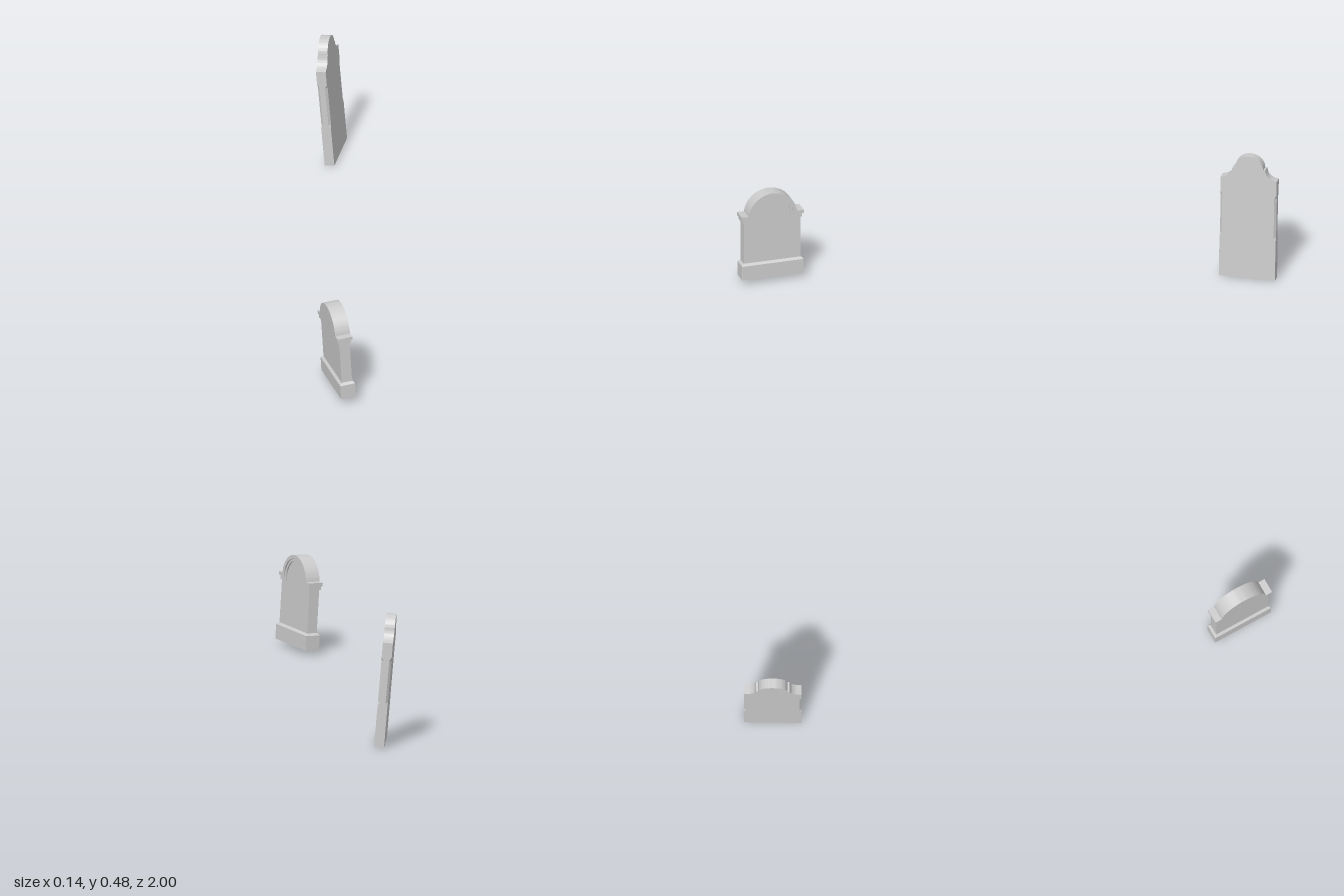
import * as THREE from 'three';
import { toCreasedNormals } from 'three/addons/utils/BufferGeometryUtils.js';

const stone = new THREE.MeshStandardMaterial({ color: 0xcccccc });

function addMesh(group, name, geometry) {
  const mesh = new THREE.Mesh(geometry, stone);
  mesh.name = name;
  group.add(mesh);
}

// Block lofted through rings of [height, halfWidth, halfDepth, cornerChamfer]
function loft(rings) {
  const pos = [], idx = [], n = 8;
  for (const [y, h, t, c] of rings) {
    const a = h - c, b = t - c;
    for (const [x, q] of [[h, -b], [h, b], [a, t], [-a, t], [-h, b], [-h, -b], [-a, -t], [a, -t]]) {
      pos.push(x, y, -q);
    }
  }
  const top = (rings.length - 1) * n;
  for (let i = 0; i < top; i += n) {
    for (let j = 0; j < n; j++) {
      const a = i + j, b = i + (j + 1) % n;
      idx.push(a, b, b + n, a, b + n, a + n);
    }
  }
  for (let j = 1; j < n - 1; j++) {
    idx.push(0, j + 1, j, top, top + j, top + j + 1);
  }
  const g = new THREE.BufferGeometry();
  g.setAttribute('position', new THREE.Float32BufferAttribute(pos, 3));
  g.setIndex(idx);
  const flat = g.toNonIndexed();
  flat.computeVertexNormals();
  return flat;
}

// Outline in the stone's face plane, extruded from depth z0 to z1
function slab(shape, z0, z1) {
  const g = new THREE.ExtrudeGeometry(shape, { depth: z1 - z0, bevelEnabled: false, curveSegments: 20 });
  g.translate(0, 0, z0);
  return toCreasedNormals(g, 0.5);
}

const SPRING = 0.24; // height where the arch of the round stone starts

// Shouldered arch; with an inner radius it becomes a moulding open below
function archShape(half, bottom, shoulder, outer, inner) {
  const s = new THREE.Shape();
  const a = Math.asin((shoulder - SPRING) / outer);
  s.moveTo(-half, bottom);
  if (inner) {
    s.lineTo(-inner, bottom);
    s.lineTo(-inner, SPRING);
    s.absarc(0, SPRING, inner, Math.PI, 0, true);
    s.lineTo(inner, bottom);
  }
  s.lineTo(half, bottom);
  s.lineTo(half, shoulder);
  s.absarc(0, SPRING, outer, a, Math.PI - a, false);
  s.lineTo(-half, shoulder);
  s.closePath();
  return s;
}

function roundStone() {
  const g = new THREE.Group();
  const e = 0.0004;
  addMesh(g, 'plinth', loft([[0, 0.119, 0.029, e], [0.055, 0.119, 0.029, e], [0.063, 0.111, 0.021, e]]));
  addMesh(g, 'body', new THREE.BoxGeometry(0.22, 0.175, 0.04).translate(0, 0.1475, 0));
  // Lower cap step, solid at the back and open to the panel at the front
  addMesh(g, 'lowerCapStep', new THREE.BoxGeometry(0.23, 0.015, 0.045).translate(0, 0.2325, -0.0025));
  addMesh(g, 'arch', slab(archShape(0.12, 0.24, 0.253, 0.095), -0.028, 0.02));
  addMesh(g, 'innerMoulding', slab(archShape(0.115, 0.225, 0.245, 0.09, 0.071), 0.015, 0.0245));
  addMesh(g, 'outerMoulding', slab(archShape(0.12, 0.24, 0.253, 0.095, 0.081), 0.015, 0.029));
  return g;
}

function tallStone() {
  const g = new THREE.Group();
  const h = 0.106, t = 0.0185, c = 0.008, e = 0.0003;
  // Shaft with stopped chamfers on its four upright edges
  addMesh(g, 'shaft', loft([[0, h, t, e], [0.155, h, t, e], [0.168, h, t, c], [0.325, h, t, c], [0.338, h, t, e]]));
  // Head: flat shoulders, hollow curves, small steps and a dome
  const s = new THREE.Shape();
  s.moveTo(-h, 0.338);
  s.lineTo(h, 0.338);
  s.lineTo(h, 0.393);
  s.lineTo(0.096, 0.396);
  s.quadraticCurveTo(0.066, 0.402, 0.062, 0.434);
  s.lineTo(0.054, 0.434);
  s.absellipse(0, 0.434, 0.054, 0.049, 0, Math.PI, false, 0);
  s.lineTo(-0.062, 0.434);
  s.quadraticCurveTo(-0.066, 0.402, -0.096, 0.396);
  s.lineTo(-h, 0.393);
  s.closePath();
  addMesh(g, 'head', slab(s, -t, t));
  return g;
}

// Turns a stone about its upright axis, then leans it
function place(parent, name, built, turn, leanX, leanZ, x, y, z) {
  built.rotation.y = turn;
  const g = new THREE.Group();
  g.name = name;
  g.add(built);
  g.rotation.set(leanX, 0, leanZ);
  g.position.set(x, y, z);
  parent.add(g);
}

export function createModel() {
  const model = new THREE.Group();
  model.name = 'gravestones';
  place(model, 'roundGravestone', roundStone(), 1.865, 0, 0.058, 0.005, 0.022, 0.877);
  place(model, 'tallGravestone', tallStone(), 1.33, -0.018, 0.082, 0.026, 0.005, -0.882);
  return model;
}
